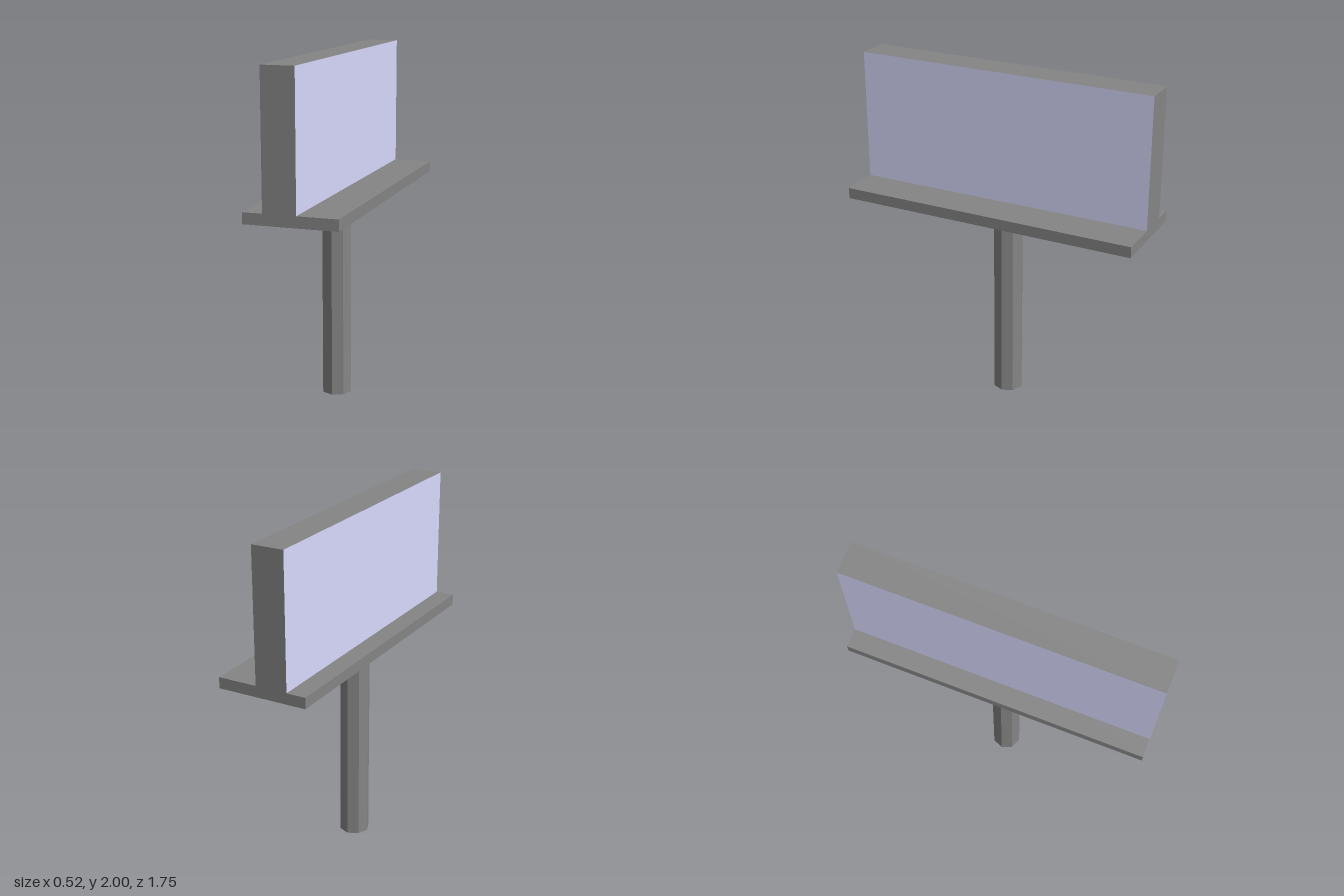
import * as THREE from 'three';

export function createModel() {
  const model = new THREE.Group();
  model.name = 'signOnPost';
  const grey = new THREE.MeshStandardMaterial({ color: 0x858585, flatShading: true });
  const panel = new THREE.MeshStandardMaterial({ color: 0xd8dafd });

  const axisX = -0.058; // post and board sit off the centre of the tray
  const trayBottom = 1.187, trayTop = 1.25, top = 2, length = 1.745;

  function add(name, geometry, material, x, y) {
    const mesh = new THREE.Mesh(geometry, material);
    mesh.name = name;
    mesh.position.set(x, y, 0);
    model.add(mesh);
  }

  // Eight-sided post, one corner facing front
  add('post', new THREE.CylinderGeometry(0.087, 0.087, trayBottom, 8), grey, axisX, trayBottom / 2);

  // Flat tray
  add('tray', new THREE.BoxGeometry(0.522, trayTop - trayBottom, length), grey, 0, (trayBottom + trayTop) / 2);

  // Upright board with tinted panels on its two broad faces (+x, -x)
  add('board', new THREE.BoxGeometry(0.185, top - trayTop, length),
    [panel, panel, grey, grey, grey, grey], axisX, (trayTop + top) / 2);

  return model;
}
